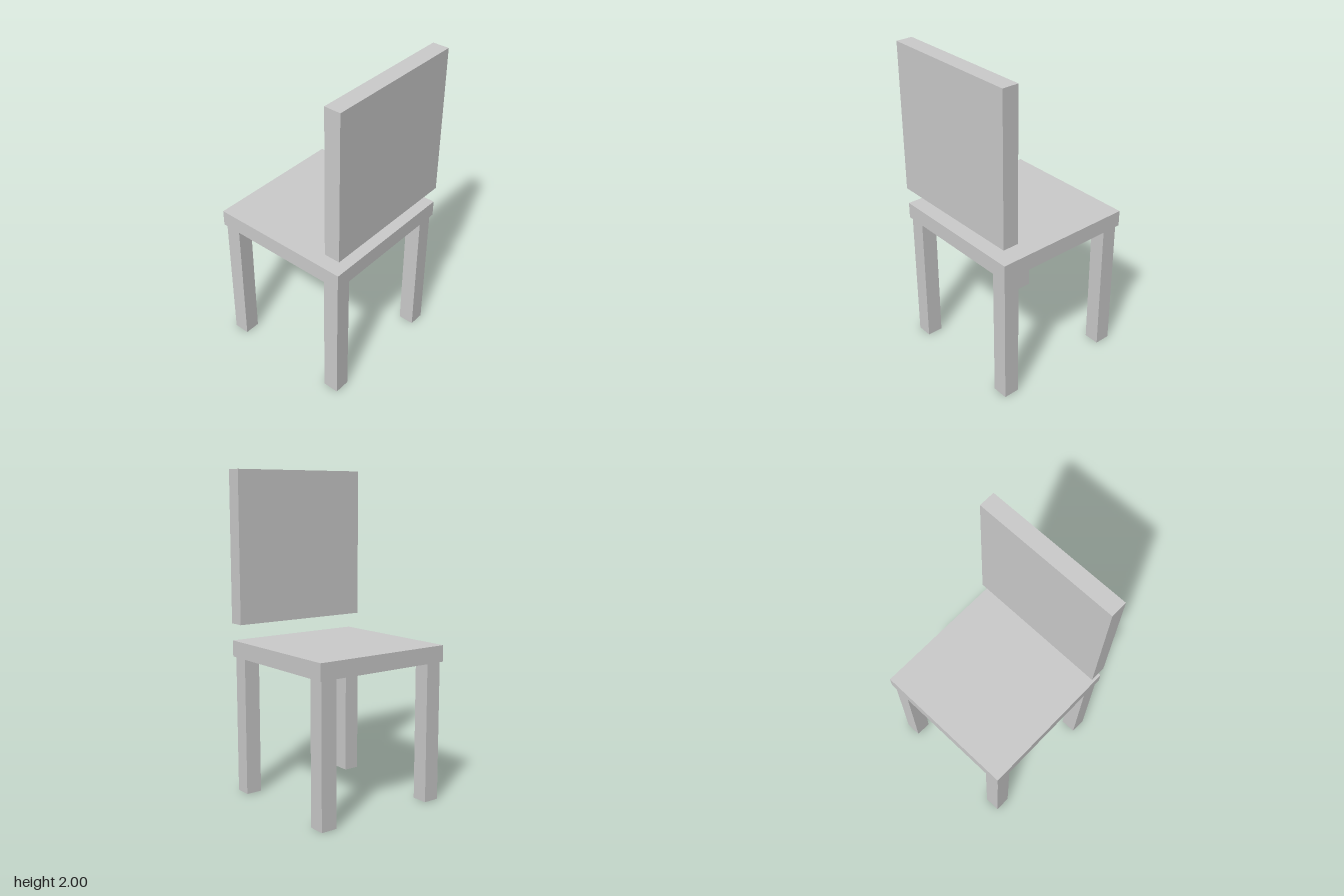
import * as THREE from 'three';

export function createModel() {
  const group = new THREE.Group();
  const material = new THREE.MeshStandardMaterial({ color: 0xcccccc, flatShading: true });

  // Box given by its size and the centre of its base
  function addBox(name, width, height, depth, x, y, z) {
    const mesh = new THREE.Mesh(new THREE.BoxGeometry(width, height, depth), material);
    mesh.name = name;
    mesh.position.set(x, y + height / 2, z);
    group.add(mesh);
  }

  // Seat slab
  addBox('seat', 0.91, 0.101, 0.91, 0, 0.862, -0.003);

  // Backrest panel, floating above the seat edge
  addBox('backrest', 0.91, 0.931, 0.102, 0, 1.069, 0.407);

  // Four square legs, set slightly in from the seat corners
  for (const [side, x] of [['Right', -0.393], ['Left', 0.39]]) {
    for (const [end, z] of [['front', 0.389], ['back', -0.394]]) {
      addBox(`${end}${side}Leg`, 0.101, 0.862, 0.101, x, 0, z);
    }
  }

  return group;
}
